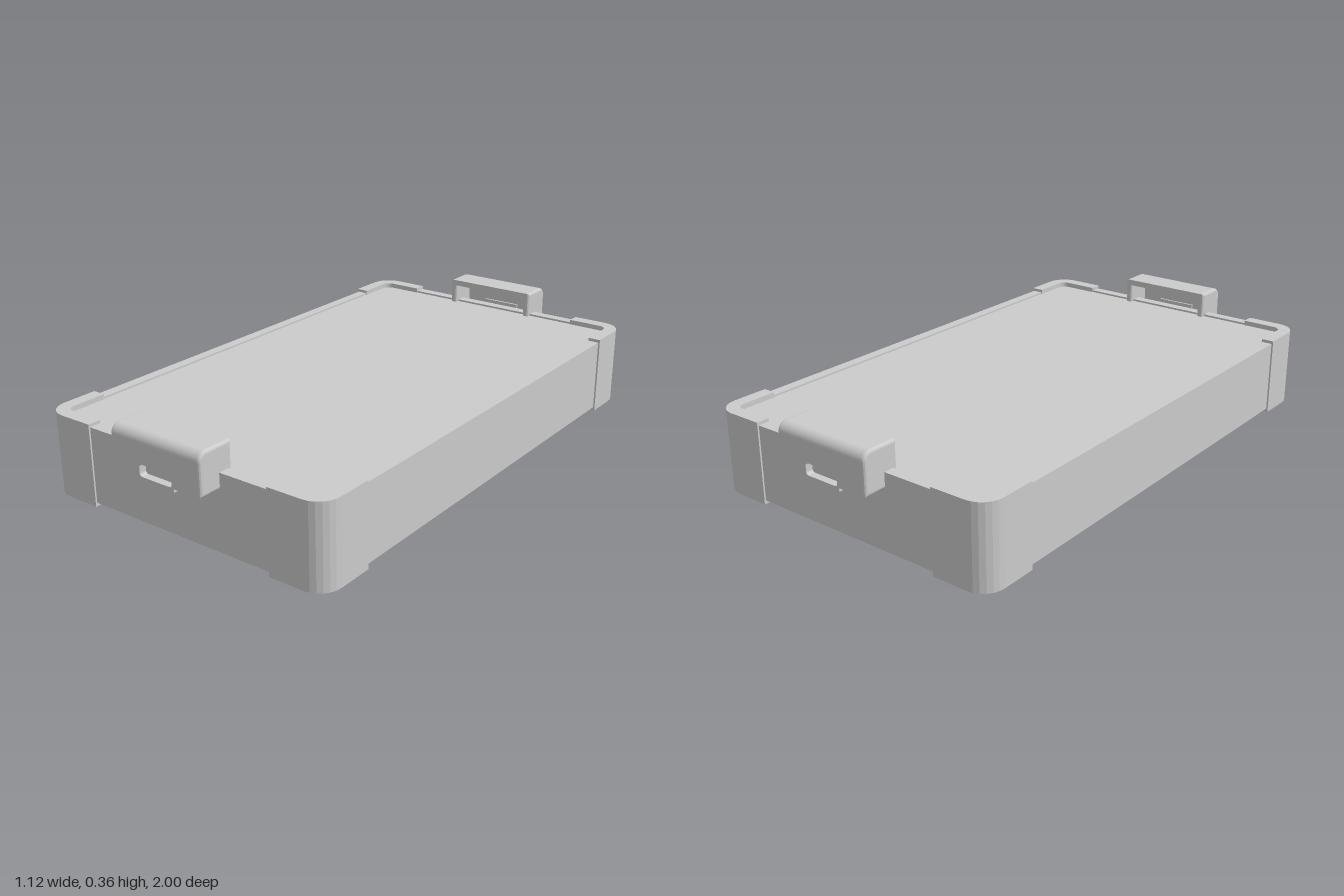
import * as THREE from 'three';

const material = new THREE.MeshStandardMaterial({ color: 0xcccccc, flatShading: true });

function add(parent, name, geometry) {
  const mesh = new THREE.Mesh(geometry, material);
  mesh.name = name;
  parent.add(mesh);
  return mesh;
}

// Box given by its lower and upper limits on each axis
function block(parent, name, [x0, x1], [y0, y1], [z0, z1]) {
  add(parent, name, new THREE.BoxGeometry(x1 - x0, y1 - y0, z1 - z0))
    .position.set((x0 + x1) / 2, (y0 + y1) / 2, (z0 + z1) / 2);
}

// Extrusion whose edges are rounded by the given bevel without growing
function extrude(shape, depth, curveSegments, bevel = 0) {
  return new THREE.ExtrudeGeometry(shape, {
    depth: depth - 2 * bevel, curveSegments, bevelEnabled: bevel > 0,
    bevelThickness: bevel, bevelSize: bevel, bevelOffset: -bevel, bevelSegments: 3,
  }).translate(0, 0, bevel);
}

// Rectangle with rounded corners, used for shapes and holes
function roundedRect(path, x0, y0, x1, y1, r) {
  path.moveTo(x0 + r, y0);
  path.lineTo(x1 - r, y0);
  path.absarc(x1 - r, y0 + r, r, -Math.PI / 2, 0);
  path.lineTo(x1, y1 - r);
  path.absarc(x1 - r, y1 - r, r, 0, Math.PI / 2);
  path.lineTo(x0 + r, y1);
  path.absarc(x0 + r, y1 - r, r, Math.PI / 2, Math.PI);
  path.lineTo(x0, y0 + r);
  path.absarc(x0 + r, y0 + r, r, Math.PI, Math.PI * 1.5);
  return path;
}

// L-shaped bumper with a rounded outer and inner corner
function cornerGeometry() {
  const arm = 0.2, t = 0.046, r = 0.075, ri = 0.029;
  const s = new THREE.Shape();
  s.moveTo(-arm, -t);
  s.lineTo(-arm, 0);
  s.lineTo(-r, 0);
  s.absarc(-r, -r, r, Math.PI / 2, 0, true);
  s.lineTo(0, -arm);
  s.lineTo(-t, -arm);
  s.lineTo(-t, -t - ri);
  s.absarc(-t - ri, -t - ri, ri, 0, Math.PI / 2, false);
  s.lineTo(-arm, -t);
  return extrude(s, 0.283, 3).rotateX(-Math.PI / 2);
}

// Profile in (-z, y) extruded across x, centred on the given x
function acrossX(shape, width, x, bevel) {
  return extrude(shape, width, 6, bevel).rotateY(Math.PI / 2).translate(x - width / 2, 0, 0);
}

// Hollow clip over the end wall, open toward the tray
function createClip() {
  const clip = new THREE.Group();
  const w = 0.18, t = 0.025, zi = 0.87, zo = 1, top = 0.358, low = 0.218, r = 0.032;
  const inner = w - 0.01;

  // Rounded side cheeks
  const cheek = new THREE.Shape();
  cheek.moveTo(-zi, low);
  cheek.lineTo(-zi, top);
  cheek.lineTo(-zo + r, top);
  cheek.absarc(-zo + r, top - r, r, Math.PI / 2, Math.PI);
  cheek.lineTo(-zo, low);
  cheek.closePath();
  for (const side of [-1, 1]) {
    add(clip, 'clipCheek', acrossX(cheek, t, side * (w - t / 2), 0.01));
  }

  // Curved top
  const cap = new THREE.Shape();
  cap.moveTo(-zi, top);
  cap.lineTo(-zo + r, top);
  cap.absarc(-zo + r, top - r, r, Math.PI / 2, Math.PI);
  cap.lineTo(-zo + t, top - r);
  cap.lineTo(-zo + r + 0.02, top - 0.022);
  cap.lineTo(-zi, top - 0.022);
  cap.closePath();
  add(clip, 'clipTop', acrossX(cap, 2 * inner, 0));

  // Outer face with a shallow slot
  const face = new THREE.Shape();
  face.moveTo(-inner, low);
  face.lineTo(inner, low);
  face.lineTo(inner, top - r);
  face.lineTo(-inner, top - r);
  face.closePath();
  face.holes.push(roundedRect(new THREE.Path(), -0.065, low + 0.002, 0.065, 0.26, 0.01));
  add(clip, 'clipFace', extrude(face, t, 4).translate(0, 0, zo - t));
  block(clip, 'slotBack', [-0.075, 0.075], [low, 0.27], [zo - t - 0.008, zo - t]);

  // Floor, inner lip and lower tab
  block(clip, 'clipFloor', [-inner, inner], [low, low + 0.002], [zi, zo - t]);
  block(clip, 'clipInnerLip', [-inner, inner], [low, 0.262], [zi, 0.9]);
  block(clip, 'clipTab', [-0.072, 0.072], [0.206, low], [zi, zo]);
  return clip;
}

export function createModel() {
  const model = new THREE.Group();
  model.name = 'tray';

  // Recessed panel
  const panel = roundedRect(new THREE.Shape(), -0.52, -0.89, 0.52, 0.89, 0.034);
  add(model, 'panel', extrude(panel, 0.011, 4).rotateX(-Math.PI / 2)).position.y = 0.254;

  // Straight walls between the corners
  for (const s of [-1, 1]) {
    const span = (a, b) => (s > 0 ? [a, b] : [-b, -a]);
    block(model, 'sideWall', span(0.517, 0.554), [0.012, 0.272], [-0.73, 0.73]);
    block(model, 'endWall', [-0.36, 0.36], [0.012, 0.272], span(0.887, 0.924));
  }

  // Raised corner bumpers
  const corner = cornerGeometry();
  [[1, -1], [-1, -1], [-1, 1], [1, 1]].forEach(([sx, sz], i) => {
    const mesh = add(model, 'cornerBumper', corner);
    mesh.position.set(sx * 0.56, 0, sz * 0.93);
    mesh.rotation.y = i * Math.PI / 2;
  });

  // Clips at both ends
  ['frontClip', 'backClip'].forEach((name, i) => {
    const clip = createClip();
    clip.name = name;
    clip.rotation.y = i * Math.PI;
    model.add(clip);
  });
  return model;
}
